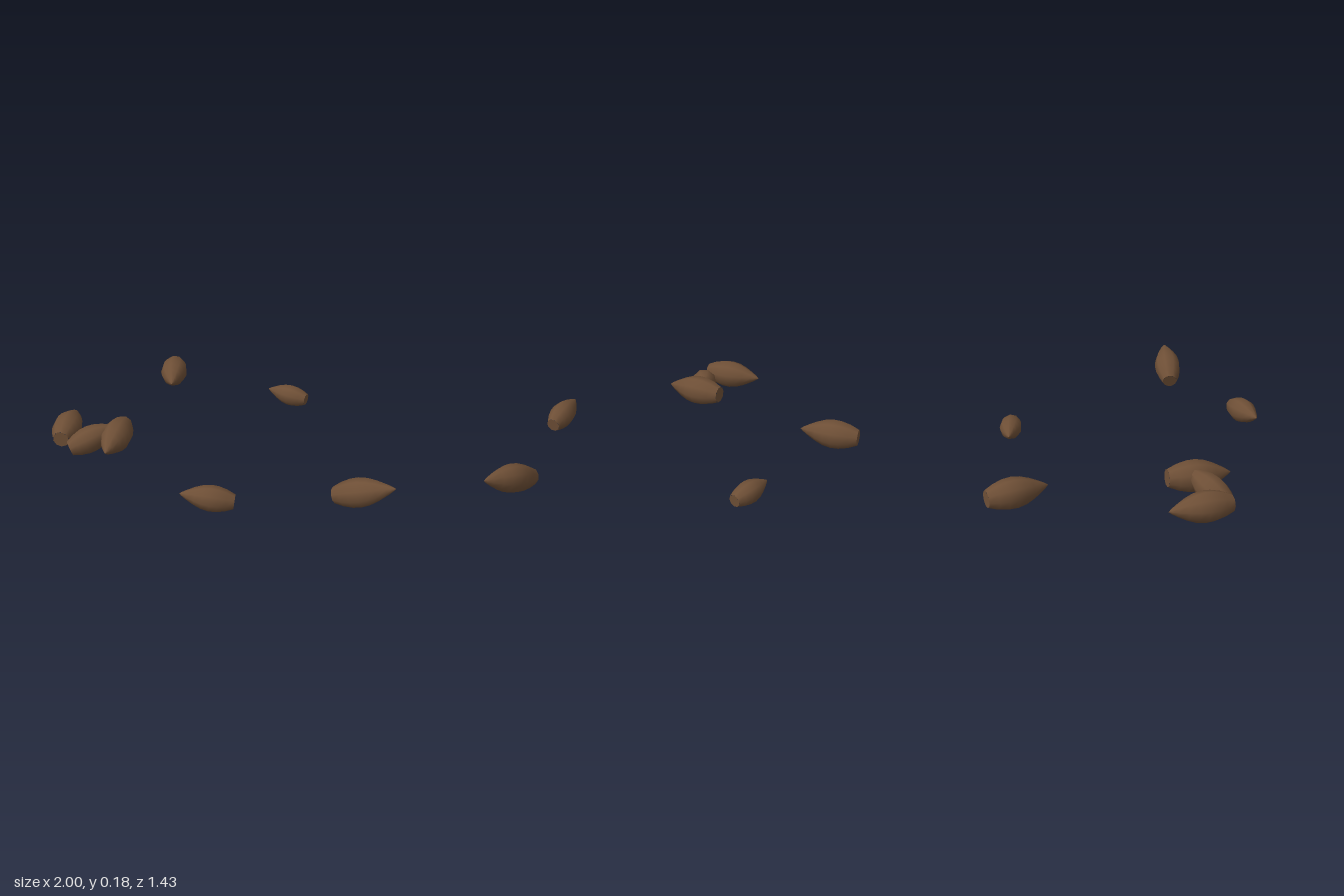
import * as THREE from 'three';

// Unit cone profile [relative radius, position from blunt end to tip]
const PROFILE = [
  [0.56, 0], [0.82, 0.15], [0.97, 0.3], [1, 0.44], [0.9, 0.58],
  [0.68, 0.72], [0.36, 0.87], [0.16, 0.95], [0, 1],
];
const SIDES = 9;

// Each cone: blunt end, tip, greatest radius
const CONES = [
  { blunt: [-0.97, 0.108, -0.39], tip: [-0.735, 0.104, -0.18], radius: 0.078 },
  { blunt: [0.725, 0.048, -0.07], tip: [1.0, 0.153, -0.205], radius: 0.075 },
  { blunt: [-0.12, 0.073, -0.685], tip: [-0.34, 0.093, -0.592], radius: 0.059 },
  { blunt: [0.492, 0.074, 0.38], tip: [0.305, 0.11, 0.572], radius: 0.066 },
  { blunt: [-0.57, 0.095, 0.69], tip: [-0.782, 0.112, 0.45], radius: 0.078 },
  { blunt: [-0.483, 0.11, 0.338], tip: [-0.285, 0.095, 0.6], radius: 0.081 },
  { blunt: [-0.525, 0.05, 0.665], tip: [-0.42, 0.15, 0.42], radius: 0.072 },
];

export function createModel() {
  const model = new THREE.Group();
  model.name = 'scatteredCones';
  const bark = new THREE.MeshStandardMaterial({ color: 0x6e4f36 });
  bark.name = 'coneBrown';

  const up = new THREE.Vector3(0, 1, 0);
  CONES.forEach(({ blunt, tip, radius }, i) => {
    const start = new THREE.Vector3(...blunt);
    const axis = new THREE.Vector3(...tip).sub(start);
    const length = axis.length();

    const cone = new THREE.Group();
    cone.name = `cone${i + 1}`;
    cone.position.copy(start);
    cone.quaternion.setFromUnitVectors(up, axis.normalize());

    // Tapered body
    const points = PROFILE.map(([r, t]) => new THREE.Vector2(r * radius, t * length));
    const body = new THREE.Mesh(new THREE.LatheGeometry(points, SIDES), bark);
    body.name = 'coneBody';

    // Flat blunt end, with corners matching the body
    const capGeometry = new THREE.CircleGeometry(PROFILE[0][0] * radius, SIDES);
    capGeometry.rotateX(Math.PI / 2).rotateY(Math.PI / 2);
    const cap = new THREE.Mesh(capGeometry, bark);
    cap.name = 'coneBase';

    cone.add(body, cap);
    model.add(cone);
  });
  return model;
}
